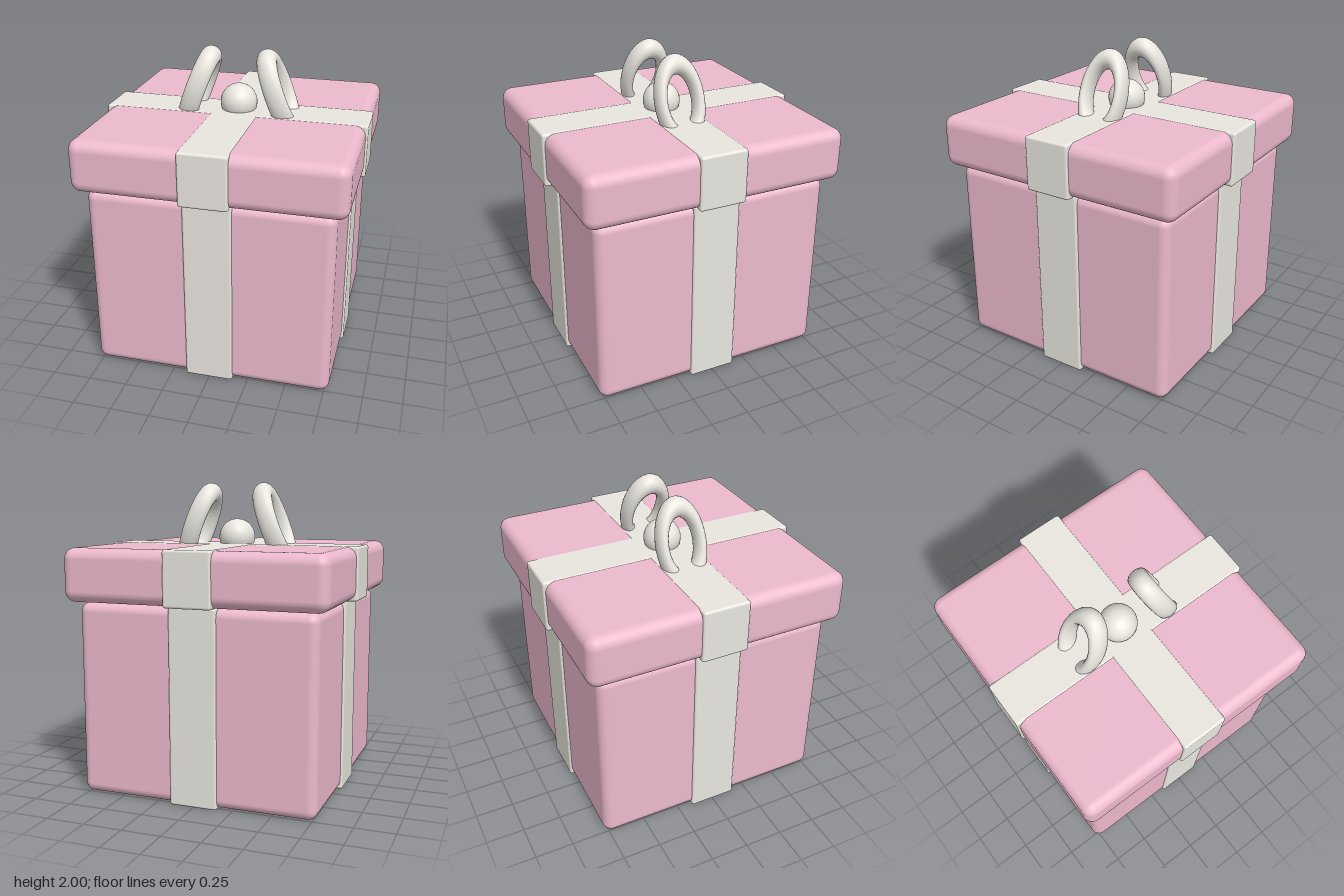
import * as THREE from 'three';
import { RoundedBoxGeometry } from 'three/addons/geometries/RoundedBoxGeometry.js';

const pink = new THREE.MeshStandardMaterial({ color: 0xecb9cd });
const cream = new THREE.MeshStandardMaterial({ color: 0xe9e6df });

function add(parent, name, geometry, material, x, y, z) {
  const mesh = new THREE.Mesh(geometry, material);
  mesh.name = name;
  mesh.position.set(x, y, z);
  parent.add(mesh);
  return mesh;
}

// Rounded box standing between two heights
function block(parent, name, material, w, d, y0, y1, radius) {
  const geometry = new RoundedBoxGeometry(w, y1 - y0, d, 5, radius);
  return add(parent, name, geometry, material, 0, (y0 + y1) / 2, 0);
}

// A pink body wrapped by two crossing ribbon bands
function wrappedBox(name, width, bandWidth, y0, y1, radius) {
  const group = new THREE.Group();
  group.name = name;
  block(group, name + 'Body', pink, width, width, y0 + 0.004, y1 - 0.004, radius);
  block(group, name + 'RibbonAcross', cream, bandWidth, 0.31, y0, y1, 0.016);
  block(group, name + 'RibbonAlong', cream, 0.31, bandWidth, y0, y1, 0.016);
  return group;
}

export function createModel() {
  const model = new THREE.Group();
  model.name = 'giftBox';

  model.add(wrappedBox('box', 1.56, 1.588, 0, 1.25, 0.06));
  model.add(wrappedBox('lid', 1.708, 1.736, 1.247, 1.595, 0.07));

  // Bow: centre knot and two oval loops leaning outwards at the base
  const bow = new THREE.Group();
  bow.name = 'bow';
  add(bow, 'bowKnot', new THREE.SphereGeometry(0.121, 32, 24), cream, 0, 1.639, 0);

  const loop = new THREE.TorusGeometry(0.23, 0.066, 20, 56);
  loop.rotateY(Math.PI / 2);
  loop.scale(1, 1, 0.555);
  for (const side of [-1, 1]) {
    const mesh = add(bow, side > 0 ? 'leftBowLoop' : 'rightBowLoop', loop, cream, side * 0.268, 1.718, 0);
    mesh.rotation.z = side * 0.36;
  }
  model.add(bow);

  return model;
}
